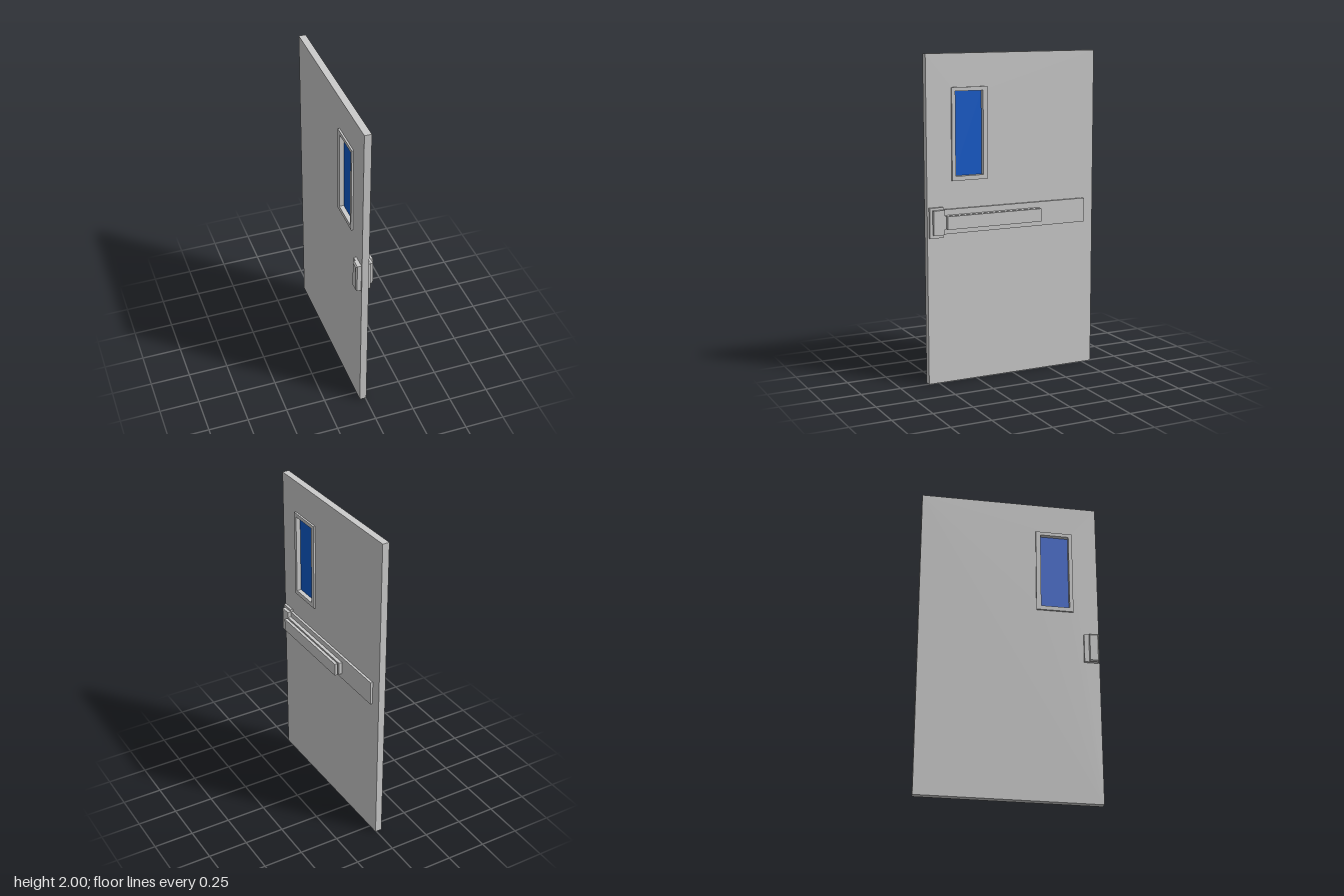
import * as THREE from 'three';

const grey = new THREE.MeshStandardMaterial({ color: 0xcccccc, flatShading: true });
const blue = new THREE.MeshStandardMaterial({ color: 0x0d5acb, flatShading: true });

export function createModel() {
  const door = new THREE.Group();
  door.name = 'door';

  const add = (name, geometry, material = grey, parent = door) => {
    const mesh = new THREE.Mesh(geometry, material);
    mesh.name = name;
    parent.add(mesh);
    return mesh;
  };

  // Box given by its limits on each axis
  const block = (x0, x1, y0, y1, z0, z1) =>
    new THREE.BoxGeometry(x1 - x0, y1 - y0, z1 - z0)
      .translate((x0 + x1) / 2, (y0 + y1) / 2, (z0 + z1) / 2);

  // Rectangle in the door plane; the shape's x runs along -z
  const trace = (path, [y0, y1, z0, z1]) => {
    path.moveTo(-z1, y0);
    path.lineTo(-z0, y0);
    path.lineTo(-z0, y1);
    path.lineTo(-z1, y1);
    path.closePath();
    return path;
  };

  // Panel with a rectangular opening, extruded through the thickness
  const panel = (x0, x1, outer, inner) => {
    const shape = trace(new THREE.Shape(), outer);
    shape.holes.push(trace(new THREE.Path(), inner));
    return new THREE.ExtrudeGeometry(shape, { depth: x1 - x0, bevelEnabled: false })
      .rotateY(Math.PI / 2).translate(x0, 0, 0);
  };

  // Slab and framed window
  const opening = [1.27, 1.777, 0.2, 0.382];
  add('slab', panel(-0.037, 0.006, [0, 2, -0.565, 0.565], opening));

  const win = new THREE.Group();
  win.name = 'window';
  door.add(win);
  add('windowFrame', panel(-0.048, 0.018, [1.243, 1.8, 0.17, 0.405], opening), grey, win);
  add('glass', block(-0.02, -0.01, 1.265, 1.782, 0.195, 0.387), blue, win);

  // Push bar on the +x face
  const push = new THREE.Group();
  push.name = 'pushBar';
  door.add(push);
  add('rail', block(0.005, 0.021, 0.925, 1.075, -0.497, 0.54), grey, push);
  add('latchPlate', block(0.005, 0.022, 0.905, 1.09, 0.467, 0.555), grey, push);
  add('latchCover', block(0.02, 0.042, 0.925, 1.075, 0.467, 0.537), grey, push);
  add('barBase', block(0.02, 0.042, 0.96, 1.04, -0.173, 0.468), grey, push);
  add('barNeck', block(0.041, 0.053, 0.97, 1.03, -0.147, 0.435), grey, push);
  add('bar', block(0.051, 0.07, 0.96, 1.04, -0.17, 0.46), grey, push);

  // Pull handle on the -x face, with chamfered outer edges
  const pull = new THREE.Group();
  pull.name = 'pullHandle';
  door.add(pull);
  add('pullPlate', block(-0.053, -0.036, 0.905, 1.09, 0.467, 0.555), grey, pull);
  add('pullGrip', block(-0.062, -0.05, 0.905, 1.09, 0.497, 0.555), grey, pull);
  const cap = block(-0.07, -0.062, 0.905, 1.09, 0.497, 0.555);
  const p = cap.attributes.position;
  for (let i = 0; i < p.count; i++) {
    if (p.getX(i) > -0.066) continue;
    p.setY(i, p.getY(i) + (p.getY(i) > 1 ? -0.008 : 0.008));
    p.setZ(i, p.getZ(i) + (p.getZ(i) > 0.52 ? -0.006 : 0.003));
  }
  cap.computeVertexNormals();
  add('pullGripFace', cap, grey, pull);

  return door;
}
